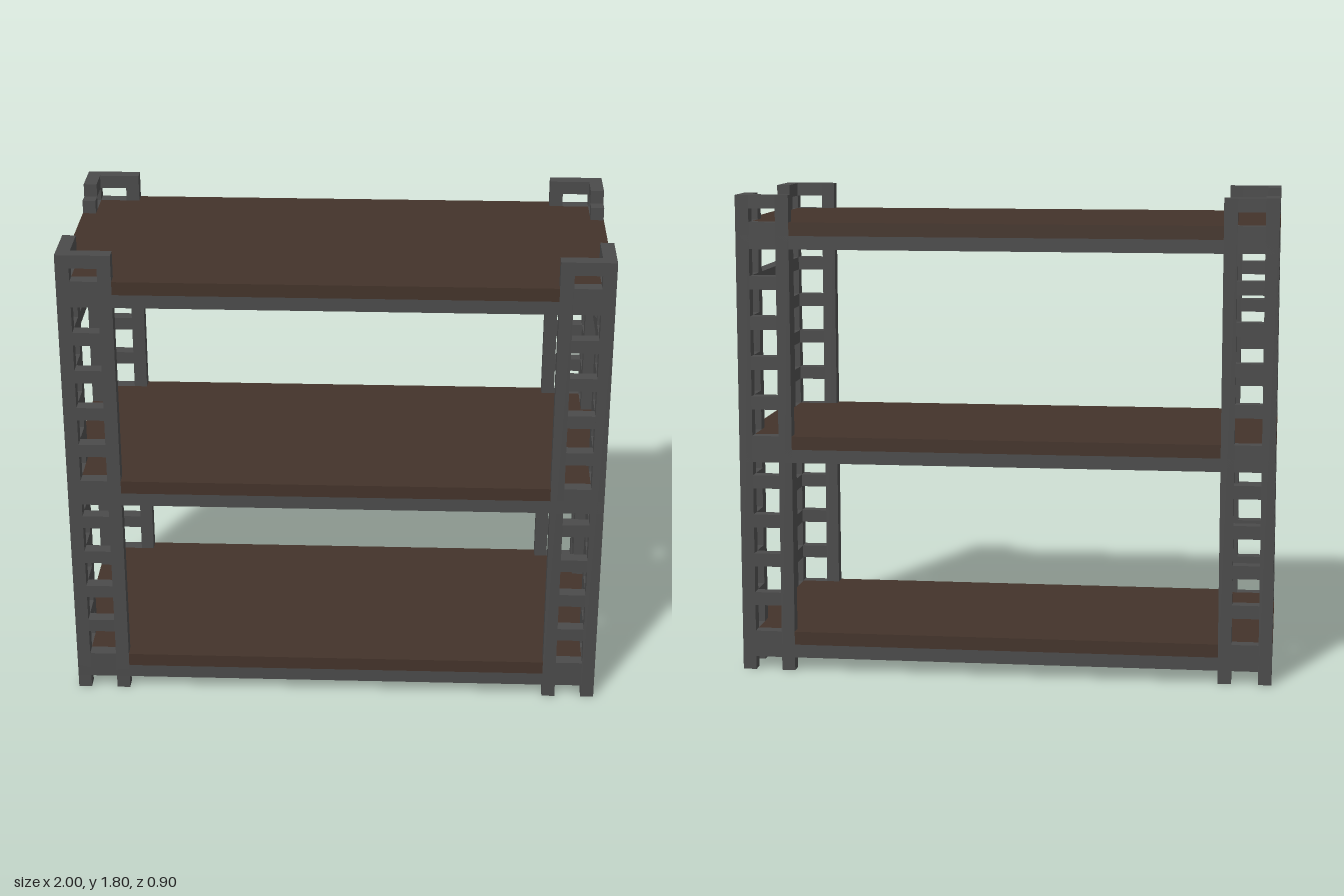
import * as THREE from 'three';

const U = 0.05; // thickness of every bar and sheet

export function createModel() {
  const steel = new THREE.MeshStandardMaterial({ color: 0x4a4a4a });
  steel.name = 'dark grey steel';
  const wood = new THREE.MeshStandardMaterial({ color: 0x43332a });
  wood.name = 'dark brown wood';

  const model = new THREE.Group();
  model.name = 'storageRack';

  // Box given by its lower and upper corners, mirrored by signs sx and sz
  function bar(parent, name, x0, x1, y0, y1, z0, z1, sx = 1, sz = 1) {
    const mesh = new THREE.Mesh(new THREE.BoxGeometry(x1 - x0, y1 - y0, z1 - z0), steel);
    mesh.position.set(sx * (x0 + x1) / 2, (y0 + y1) / 2, sz * (z0 + z1) / 2);
    mesh.name = name;
    parent.add(mesh);
  }

  const shelfHeights = [0.05, 0.8, 1.6];

  // Corner posts: three uprights joined by ladder rungs on two faces
  for (const sx of [-1, 1]) for (const sz of [-1, 1]) {
    const post = new THREE.Group();
    post.name = (sz > 0 ? 'front' : 'back') + (sx > 0 ? 'Left' : 'Right') + 'Post';
    const sideTop = sz > 0 ? 1.8 : 1.75; // rear inner uprights stop one step lower
    bar(post, 'cornerUpright', 0.95, 1, 0, 1.8, 0.4, 0.45, sx, sz);
    bar(post, 'faceUpright', 0.8, 0.85, 0, 1.8, 0.4, 0.45, sx, sz);
    bar(post, 'sideUpright', 0.95, 1, 0, sideTop, 0.25, 0.3, sx, sz);
    for (let i = 0; i < 12; i++) {
      const y = 0.1 + i * 0.15;
      bar(post, 'faceRung', 0.85, 0.95, y, y + U, 0.4, 0.45, sx, sz);
      bar(post, 'sideRung', 0.95, 1, y, y + U, 0.3, 0.4, sx, sz);
    }
    // Solid collar beside each shelf board
    for (const y of shelfHeights) {
      bar(post, 'faceCollar', 0.85, 0.95, y + U, y + 2 * U, 0.4, 0.45, sx, sz);
      bar(post, 'sideCollar', 0.95, 1, y + U, y + 2 * U, 0.3, 0.4, sx, sz);
    }
    model.add(post);
  }

  // Board outline, notched at each corner around the posts
  const corner = [[1.001, 0.29], [0.95, 0.29], [0.95, 0.4], [0.8, 0.4], [0.8, 0.45]];
  const flipped = [...corner].reverse();
  const outline = [
    ...corner,
    ...flipped.map(([x, z]) => [-x, z]),
    ...corner.map(([x, z]) => [-x, -z]),
    ...flipped.map(([x, z]) => [x, -z]),
  ].map(([x, z]) => new THREE.Vector2(x, z));
  const boardGeometry = new THREE.ExtrudeGeometry(new THREE.Shape(outline), { depth: U, bevelEnabled: false });
  boardGeometry.rotateX(-Math.PI / 2);

  // Shelves: steel tray with a wooden board on top
  for (const y of shelfHeights) {
    const shelf = new THREE.Group();
    shelf.name = 'shelf';
    bar(shelf, 'shelfTray', -1, 1, y, y + U, -0.45, 0.45);
    const board = new THREE.Mesh(boardGeometry, wood);
    board.name = 'shelfBoard';
    board.position.y = y + U;
    shelf.add(board);
    model.add(shelf);
  }

  // Cross bars tying the posts together at each end
  for (const sx of [-1, 1]) bar(model, 'endCrossBar', 0.95, 1, 1.45, 1.5, -0.25, 0.25, sx);

  return model;
}
